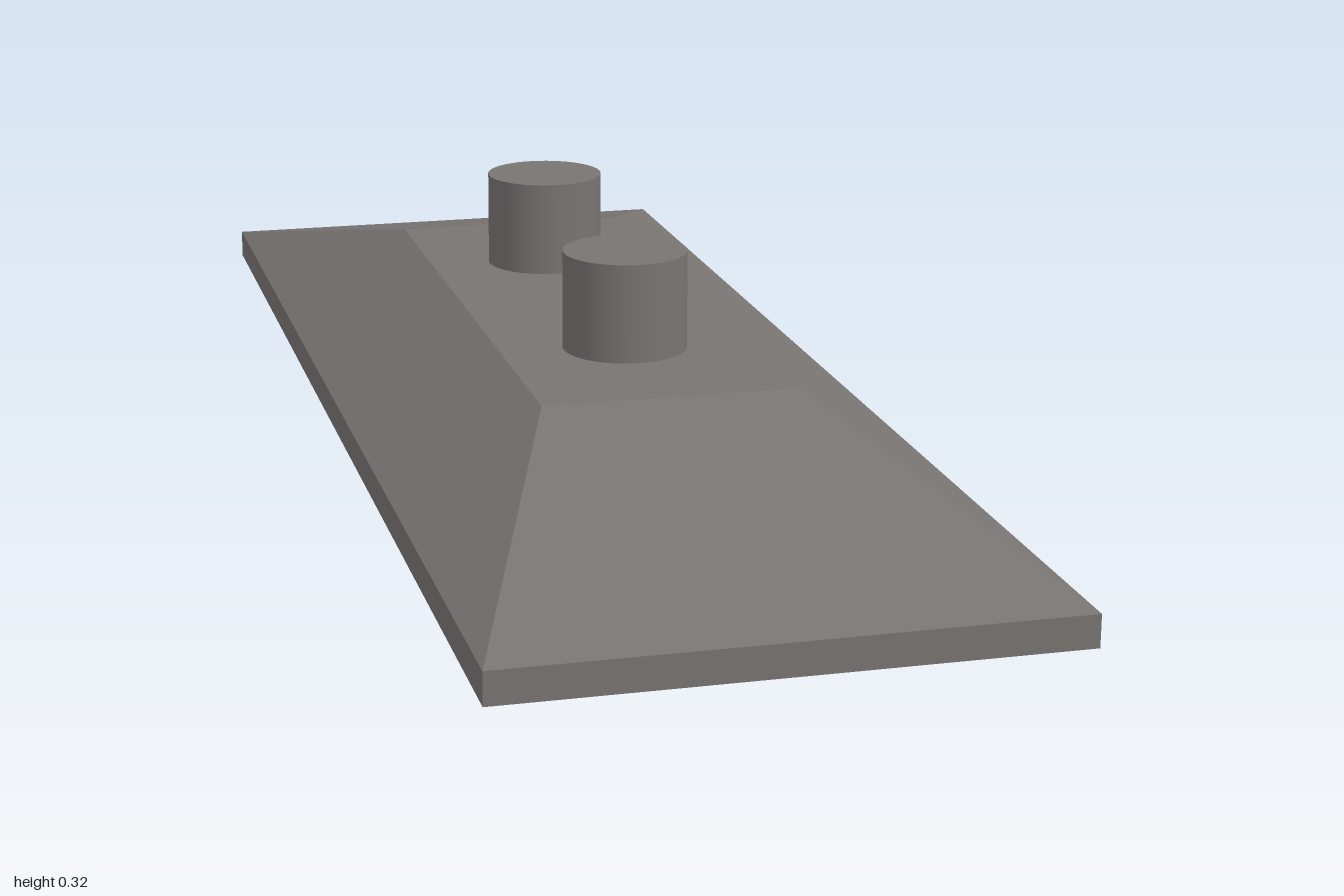
import * as THREE from 'three';
import { toCreasedNormals } from 'three/addons/utils/BufferGeometryUtils.js';

// Skin a stack of rectangles [halfX, y, halfZ], listed from the bottom centre outward and up.
function rectLoft(sections, crease) {
  const corners = [[1, 1], [1, -1], [-1, -1], [-1, 1]];
  const point = ([hx, y, hz], [sx, sz]) => [hx * sx, y, hz * sz];
  const pos = [];
  for (let i = 0; i < sections.length - 1; i++) {
    const [lo, hi] = [sections[i], sections[i + 1]];
    corners.forEach((c, k) => {
      const n = corners[(k + 1) % 4];
      const [a, b, d, e] = [point(lo, c), point(lo, n), point(hi, n), point(hi, c)];
      if (lo[0] > 0) pos.push(...a, ...b, ...d);
      if (hi[0] > 0) pos.push(...a, ...d, ...e);
    });
  }
  const geo = new THREE.BufferGeometry();
  geo.setAttribute('position', new THREE.Float32BufferAttribute(pos, 3));
  geo.computeVertexNormals();
  return toCreasedNormals(geo, crease);
}

export function createModel() {
  const model = new THREE.Group();
  model.name = 'lightFixture';
  const metal = new THREE.MeshStandardMaterial({ color: 0x787472 });
  const glass = new THREE.MeshStandardMaterial({ color: 0xcdb67a, side: THREE.DoubleSide });
  const add = (name, geo, mat) => {
    const mesh = new THREE.Mesh(geo, mat);
    mesh.name = name;
    model.add(mesh);
    return mesh;
  };

  // Housing: recessed underside, flat rim, sloped roof
  add('housing', rectLoft([
    [0, 0.05, 0],
    [0.305, 0.05, 0.953],
    [0.305, 0.025, 0.953],
    [0.352, 0.025, 1],
    [0.352, 0.066, 1],
    [0.166, 0.186, 0.47],
    [0, 0.186, 0],
  ], 0.1), metal);

  // Lens: flat pane with rounded, mitred edges bulging below the rim
  const lens = [[0, 0, 0]];
  const r = 0.07, steps = 6;
  for (let i = 0; i <= steps; i++) {
    const a = THREE.MathUtils.degToRad(-75 + (60 * i) / steps);
    const x = 0.232 + r * Math.cos(a);
    lens.push([x, 0.0676 + r * Math.sin(a), x + 0.648]);
  }
  add('lens', rectLoft(lens, 0.22), glass);

  // Two mounting posts on the roof
  for (const side of [1, -1]) {
    const post = add(side > 0 ? 'frontPost' : 'backPost',
      new THREE.CylinderGeometry(0.082, 0.082, 0.132, 48), metal);
    post.position.set(0, 0.251, side * 0.235);
  }
  return model;
}
